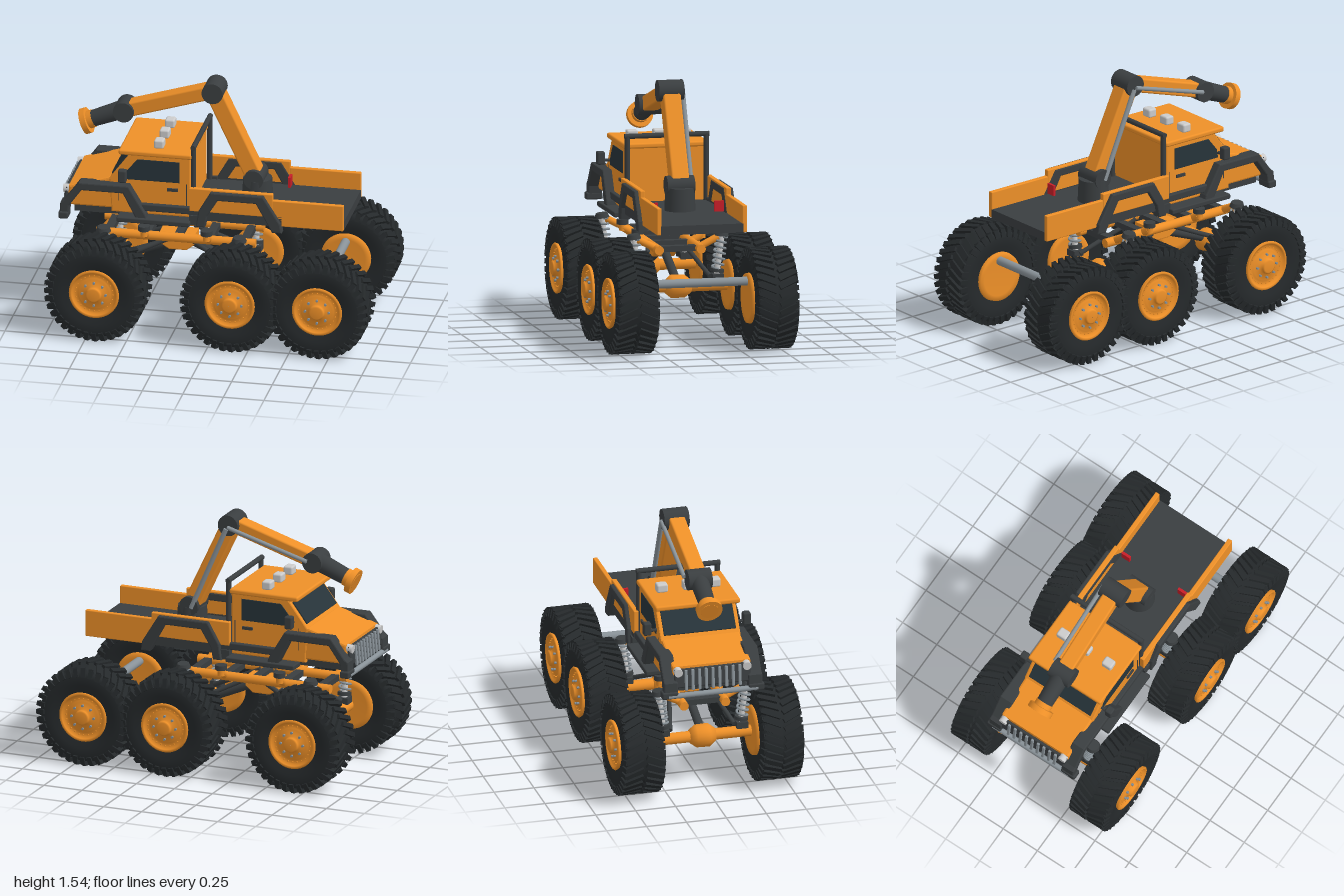
import * as THREE from 'three';
import { mergeGeometries } from 'three/addons/utils/BufferGeometryUtils.js';
import { RoundedBoxGeometry } from 'three/addons/geometries/RoundedBoxGeometry.js';

const mat = (color) => new THREE.MeshStandardMaterial({ color });
const ORANGE = mat(0xee9028), DARK = mat(0x3a3e40), TYRE = mat(0x25292b), GREY = mat(0x899298);
const LIGHT = mat(0xdddddd), RED = mat(0xc81e28), GLASS = mat(0x27343a);
const V = (x, y, z) => new THREE.Vector3(x, y, z);

function add(parent, name, geo, material, x = 0, y = 0, z = 0) {
  const m = new THREE.Mesh(geo, material);
  m.name = name;
  m.position.set(x, y, z);
  parent.add(m);
  return m;
}

// box given by its extents
function box(parent, name, material, x0, x1, y0, y1, z0, z1, r = 0) {
  const s = [x1 - x0, y1 - y0, z1 - z0];
  const geo = r ? new RoundedBoxGeometry(...s, 2, r) : new THREE.BoxGeometry(...s);
  return add(parent, name, geo, material, (x0 + x1) / 2, (y0 + y1) / 2, (z0 + z1) / 2);
}

// round bar between two points
function rod(parent, name, material, a, b, r, r2 = r, sides = 20) {
  const d = b.clone().sub(a);
  const m = add(parent, name, new THREE.CylinderGeometry(r2, r, d.length(), sides), material);
  m.position.copy(a).add(b).multiplyScalar(0.5);
  m.quaternion.setFromUnitVectors(V(0, 1, 0), d.normalize());
  return m;
}

// box beam between two points of the xy plane
function beam(parent, name, material, a, b, height, depth, z = 0, r = 0.012) {
  const dx = b[0] - a[0], dy = b[1] - a[1];
  const geo = new RoundedBoxGeometry(Math.hypot(dx, dy), height, depth, 2, r);
  const m = add(parent, name, geo, material, (a[0] + b[0]) / 2, (a[1] + b[1]) / 2, z);
  m.rotation.z = Math.atan2(dy, dx);
  return m;
}

// side profile extruded from z0 to z1
function plate(parent, name, material, pts, z0, z1, bevel = 0.008) {
  const shape = new THREE.Shape(pts.map((p) => new THREE.Vector2(...p)));
  const geo = new THREE.ExtrudeGeometry(shape, {
    depth: z1 - z0 - 2 * bevel, bevelEnabled: bevel > 0, bevelSize: bevel, bevelThickness: bevel,
    bevelOffset: -bevel, bevelSegments: 2,
  });
  return add(parent, name, geo, material, 0, 0, z0 + bevel);
}

// profile of [radius, z] turned about the z axis
const turned = (pts, n = 48) => new THREE.LatheGeometry(pts.map((p) => new THREE.Vector2(...p)), n).rotateX(Math.PI / 2);

function makeWheel() {
  const g = new THREE.Group();
  g.name = 'wheel';
  const rubber = [[0.145, -0.11], [0.2, -0.126], [0.25, -0.128], [0.278, -0.118], [0.29, -0.09], [0.293, -0.01],
    [0.284, 0], [0.293, 0.01], [0.29, 0.09], [0.278, 0.118], [0.25, 0.128], [0.2, 0.126], [0.145, 0.11]];
  add(g, 'tyre', turned(rubber, 56), TYRE);
  // slanted tread bars with shoulder blocks
  const lugs = [], N = 36;
  for (let i = 0; i < N; i++) for (const s of [-1, 1]) {
    const a = ((i + (s > 0 ? 0.5 : 0)) / N) * Math.PI * 2;
    lugs.push(new THREE.BoxGeometry(0.028, 0.026, 0.122).rotateY(s * 0.42).translate(0, 0.296, s * 0.064).rotateZ(a));
    lugs.push(new THREE.BoxGeometry(0.028, 0.05, 0.022).rotateX(-s * 0.25).translate(s * 0.026, 0.274, s * 0.12).rotateZ(a));
  }
  add(g, 'tread', mergeGeometries(lugs), TYRE);
  const rim = [[0.001, -0.13], [0.12, -0.13], [0.15, -0.135], [0.155, -0.11], [0.145, 0.1], [0.155, 0.125], [0.148, 0.133],
    [0.136, 0.13], [0.128, 0.112], [0.1, 0.112], [0.092, 0.122], [0.05, 0.122], [0.046, 0.146], [0.036, 0.152], [0.001, 0.152]];
  add(g, 'rim', turned(rim), ORANGE);
  for (let i = 0; i < 8; i++) {
    const a = (i / 8) * Math.PI * 2;
    add(g, 'wheelNut', new THREE.CylinderGeometry(0.008, 0.008, 0.02, 6).rotateX(Math.PI / 2), GREY,
      0.073 * Math.cos(a), 0.073 * Math.sin(a), 0.126);
  }
  for (let i = 0; i < 24; i++) {
    const a = (i / 24) * Math.PI * 2;
    add(g, 'rimBolt', new THREE.CylinderGeometry(0.004, 0.004, 0.012, 6).rotateX(Math.PI / 2), ORANGE,
      0.115 * Math.cos(a), 0.115 * Math.sin(a), 0.115);
  }
  return g;
}

class Coil extends THREE.Curve {
  getPoint(t, out = V(0, 0, 0)) {
    const a = t * Math.PI * 12;
    return out.set(0.034 * Math.cos(a), t * 0.2 - 0.1, 0.034 * Math.sin(a));
  }
}

function makeChassis() {
  const g = new THREE.Group();
  g.name = 'chassis';
  const wheel = makeWheel();
  for (const x of [-0.69, 0.147, 0.685]) for (const s of [-1, 1]) {
    const w = wheel.clone();
    w.position.set(x, 0.315, s * 0.433);
    if (s < 0) w.rotation.y = Math.PI;
    g.add(w);
  }
  rod(g, 'rearCrossTube', GREY, V(0.685, 0.42, -0.32), V(0.685, 0.42, 0.32), 0.027);
  for (const x of [-0.69, 0.147]) {
    rod(g, 'axle', ORANGE, V(x, 0.315, -0.31), V(x, 0.315, 0.31), 0.035);
    add(g, 'differential', turned([[0.001, -0.08], [0.04, -0.08], [0.07, -0.04], [0.072, 0.04], [0.04, 0.08], [0.001, 0.08]], 20), ORANGE, x, 0.315, 0);
    const inner = x < -0.3 ? x + 0.4 : x - 0.35;
    rod(g, 'driveShaft', DARK, V(x, 0.33, 0), V(inner, 0.48, 0), 0.026);
    for (const s of [-1, 1]) {
      const coil = add(g, 'spring', new THREE.TubeGeometry(new Coil(), 110, 0.0075, 6), GREY, x, 0.515, s * 0.26);
      coil.rotation.x = s * 0.13;
      rod(g, 'shock', LIGHT, V(x, 0.34, s * 0.237), V(x, 0.63, s * 0.274), 0.018);
      rod(g, 'springSeat', DARK, V(x, 0.395, s * 0.243), V(x, 0.415, s * 0.246), 0.042);
      rod(g, 'springCap', DARK, V(x, 0.615, s * 0.272), V(x, 0.642, s * 0.275), 0.046, 0.036);
      box(g, 'axleBracket', DARK, x - 0.035, x + 0.035, 0.345, 0.385, s * 0.245 - 0.035, s * 0.245 + 0.035);
      rod(g, 'linkArm', DARK, V(x, 0.37, s * 0.2), V(inner, 0.54, s * 0.1), 0.014);
      rod(g, 'capArm', ORANGE, V(x, 0.61, s * 0.25), V(x, 0.55, s * 0.13), 0.022);
    }
  }
  for (const s of [-1, 1]) {
    rod(g, 'frameRail', ORANGE, V(-0.76, 0.548, s * 0.13), V(0.22, 0.548, s * 0.13), 0.028);
    for (const x of [-0.455, -0.07]) {
      rod(g, 'mountArm', ORANGE, V(x, 0.55, s * 0.13), V(x, 0.59, s * 0.2), 0.024);
      rod(g, 'mountPost', ORANGE, V(x, 0.57, s * 0.2), V(x, 0.61, s * 0.2), 0.022);
      rod(g, 'mountPad', DARK, V(x, 0.608, s * 0.2), V(x, 0.638, s * 0.2), 0.036);
    }
  }
  for (const x of [-0.69, -0.455, -0.26, -0.07, 0.147]) box(g, 'crossMember', DARK, x - 0.025, x + 0.025, 0.53, 0.565, -0.13, 0.13);
  plate(g, 'transferCase', ORANGE, [[-0.33, 0.44], [-0.22, 0.44], [-0.17, 0.48], [-0.17, 0.54], [-0.39, 0.54], [-0.39, 0.48]], -0.07, 0.07);
  return g;
}

function makeBody() {
  const g = new THREE.Group();
  g.name = 'body';
  // cab and nose
  plate(g, 'cab', ORANGE, [[-0.645, 0.735], [-0.16, 0.735], [-0.16, 1.13], [-0.525, 1.13], [-0.66, 0.95]], -0.25, 0.25);
  plate(g, 'nose', ORANGE, [[-0.92, 0.755], [-0.62, 0.755], [-0.62, 0.955], [-0.66, 0.955], [-0.91, 0.88]], -0.245, 0.245, 0.012);
  box(g, 'roof', ORANGE, -0.6, -0.15, 1.115, 1.148, -0.265, 0.265, 0.012);
  beam(g, 'windscreen', GLASS, [-0.645, 0.975], [-0.55, 1.1], 0.012, 0.45, 0, 0.003);
  box(g, 'underbody', DARK, -0.88, -0.15, 0.71, 0.76, -0.22, 0.22);
  // grille and bumper
  const grille = beam(g, 'grille', DARK, [-0.935, 0.75], [-0.922, 0.87], 0.02, 0.48);
  for (let i = -4; i <= 4; i++) beam(g, 'grilleBar', GREY, [-0.95, 0.735], [-0.937, 0.865], 0.016, 0.018, i * 0.042, 0.004);
  rod(g, 'bumperBar', GREY, V(-0.945, 0.705, -0.28), V(-0.945, 0.705, 0.28), 0.017);
  for (const z of [-0.215, 0.215]) rod(g, 'headlight', LIGHT, V(-0.9, 0.855, z), V(-0.945, 0.85, z), 0.026);
  // load bed
  box(g, 'bedFloor', DARK, -0.16, 0.79, 0.735, 0.79, -0.255, 0.255);
  const arch = (pts, name, z0, z1) => plate(g, name, DARK, pts, z0, z1);
  for (const s of [-1, 1]) {
    const span = (a, b) => (s > 0 ? [a, b] : [-b, -a]);
    box(g, 'frontBedSide', ORANGE, -0.16, 0.355, 0.79, 0.94, ...span(0.25, 0.282), 0.006);
    box(g, 'rearBedSide', ORANGE, 0.35, 0.79, 0.735, 0.9, ...span(0.25, 0.28), 0.006);
    box(g, 'bedSill', DARK, -0.16, 0.41, 0.735, 0.8, ...span(0.25, 0.28));
    box(g, 'tailLight', RED, 0.355, 0.372, 0.8, 0.865, ...span(0.175, 0.235));
    // wheel arches
    arch([[-0.955, 0.70], [-0.905, 0.70], [-0.895, 0.775], [-0.82, 0.88], [-0.565, 0.88], [-0.475, 0.705], [-0.41, 0.705],
      [-0.425, 0.755], [-0.53, 0.93], [-0.835, 0.93], [-0.925, 0.81], [-0.95, 0.79]], 'frontArch', ...span(0.22, 0.308));
    arch([[-0.115, 0.7], [-0.06, 0.7], [-0.045, 0.775], [0.02, 0.88], [0.255, 0.88], [0.355, 0.7], [0.415, 0.7],
      [0.405, 0.76], [0.3, 0.93], [-0.025, 0.93], [-0.1, 0.8]], 'middleArch', ...span(0.245, 0.308));
    box(g, 'bumperEnd', DARK, -0.96, -0.9, 0.69, 0.735, ...span(0.22, 0.32), 0.01);
    // cab sides
    box(g, 'runningBoard', DARK, -0.6, -0.15, 0.7, 0.732, ...span(0.22, 0.325), 0.008);
    box(g, 'sideStrip', DARK, -0.5, -0.09, 0.765, 0.81, ...span(0.24, 0.278), 0.008);
    box(g, 'sillLink', DARK, -0.16, -0.07, 0.705, 0.765, ...span(0.2, 0.29));
    plate(g, 'sideWindow', GLASS, [[-0.56, 0.955], [-0.225, 0.955], [-0.225, 1.09], [-0.485, 1.09], [-0.55, 1.01]], ...span(0.24, 0.254), 0.002);
    box(g, 'doorHandle', DARK, -0.3, -0.235, 0.9, 0.918, ...span(0.245, 0.262));
    for (const x of [-0.605, -0.185]) box(g, 'doorGap', DARK, x, x + 0.005, 0.81, 0.95, ...span(0.24, 0.2515));
    box(g, 'mirror', DARK, -0.59, -0.54, 0.96, 1.04, ...span(0.287, 0.335), 0.01);
    rod(g, 'mirrorArm', DARK, V(-0.565, 0.985, s * 0.24), V(-0.565, 0.985, s * 0.3), 0.01);
    rod(g, 'rollBarPost', DARK, V(-0.14, 0.79, s * 0.245), V(-0.14, 1.2, s * 0.245), 0.016);
  }
  rod(g, 'rollBarTop', DARK, V(-0.14, 1.195, -0.262), V(-0.14, 1.195, 0.262), 0.016);
  for (const z of [-0.165, 0, 0.165]) box(g, 'roofLight', LIGHT, -0.395, -0.335, 1.145, 1.2, z - 0.035, z + 0.035, 0.012);
  return g;
}

function makeArm() {
  const g = new THREE.Group();
  g.name = 'craneArm';
  const base = [0.195, 0.94], knee = [-0.06, 1.48], elbow = [-0.61, 1.31];
  const pin = (name, p, r, w) => rod(g, name, DARK, V(...p, -w), V(...p, w), r, r, 28);
  rod(g, 'turret', DARK, V(0.205, 0.78, 0), V(0.205, 0.93, 0), 0.095, 0.088, 28);
  pin('basePin', base, 0.06, 0.085);
  pin('kneePin', knee, 0.065, 0.078);
  pin('elbowPin', elbow, 0.063, 0.073);
  beam(g, 'lowerArm', ORANGE, base, knee, 0.105, 0.11);
  beam(g, 'upperArm', ORANGE, knee, elbow, 0.09, 0.1);
  rod(g, 'lowerPiston', GREY, V(0.18, 0.93, -0.078), V(-0.05, 1.46, -0.078), 0.015);
  rod(g, 'upperPiston', GREY, V(-0.06, 1.47, -0.082), V(-0.58, 1.32, -0.082), 0.013);
  // wrist with the tool flange
  rod(g, 'wrist', DARK, V(...elbow, 0), V(-0.83, 1.22, 0), 0.058, 0.05, 28);
  rod(g, 'toolNeck', ORANGE, V(-0.805, 1.23, 0), V(-0.87, 1.203, 0), 0.055);
  rod(g, 'toolFlange', ORANGE, V(-0.835, 1.216, 0), V(-0.868, 1.203, 0), 0.08, 0.08, 28);
  return g;
}

export function createModel() {
  const model = new THREE.Group();
  model.name = 'sixWheeledCraneTruck';
  model.add(makeChassis(), makeBody(), makeArm());
  return model;
}
